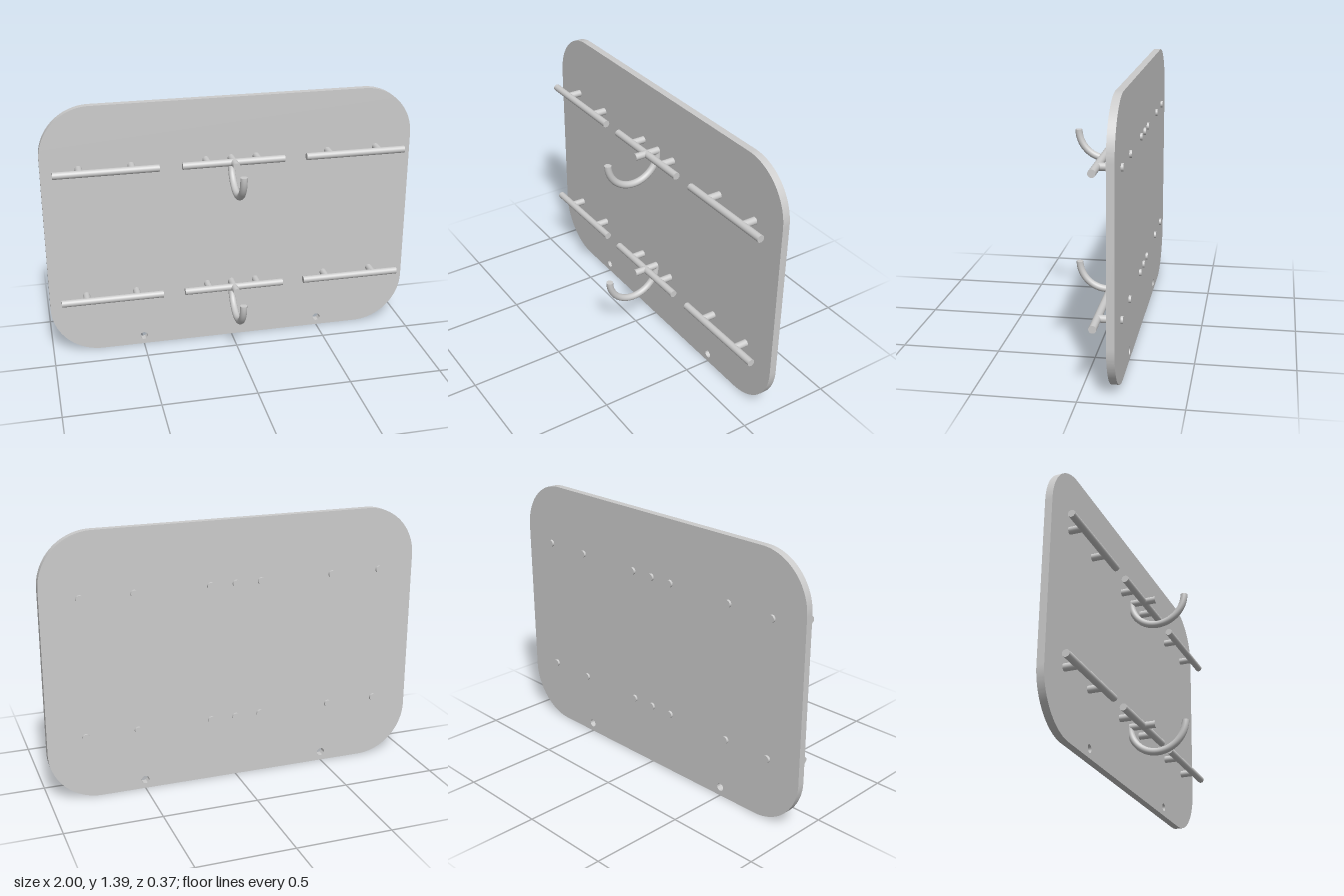
import * as THREE from 'three';
import { toCreasedNormals } from 'three/addons/utils/BufferGeometryUtils.js';

const W = 2, H = 1.395, CORNER = 0.27;
const BACK = -0.175, THICK = 0.038;
const ROD = 0.019, BAR_Z = -0.064, PEG_BACK = -0.187;

export function createModel() {
  const model = new THREE.Group();
  const material = new THREE.MeshStandardMaterial({ color: 0xcccccc });

  const add = (parent, name, geometry, x = 0, y = 0, z = 0) => {
    const mesh = new THREE.Mesh(geometry, material);
    mesh.name = name;
    mesh.position.set(x, y, z);
    parent.add(mesh);
    return mesh;
  };

  // Rounded back panel with two mounting holes
  const r = CORNER, w = W / 2;
  const outline = new THREE.Shape();
  outline.absarc(w - r, r, r, -Math.PI / 2, 0);
  outline.absarc(w - r, H - r, r, 0, Math.PI / 2);
  outline.absarc(-w + r, H - r, r, Math.PI / 2, Math.PI);
  outline.absarc(-w + r, r, r, Math.PI, Math.PI * 1.5);
  outline.closePath();
  for (const x of [-0.5, 0.5]) {
    const hole = new THREE.Path();
    hole.absarc(x, 0.048, 0.021, 0, Math.PI * 2, true);
    outline.holes.push(hole);
  }
  const panel = new THREE.ExtrudeGeometry(outline, { depth: THICK, bevelEnabled: false, curveSegments: 24 });
  add(model, 'backPanel', toCreasedNormals(panel, 0.6), 0, 0, BACK);

  // Peg running forward through the panel to the given depth
  const addPeg = (parent, name, x, front) => {
    const length = front - PEG_BACK;
    const geometry = new THREE.CylinderGeometry(ROD, ROD, length, 24).rotateX(Math.PI / 2);
    add(parent, name, geometry, x, 0, PEG_BACK + length / 2);
  };

  // Upper and lower rows of rails and hooks
  for (const [rowName, y] of [['lowerRow', 0.335], ['upperRow', 1.063]]) {
    const row = new THREE.Group();
    row.name = rowName;
    row.position.y = y;
    model.add(row);

    // Three horizontal bars, each on two pegs
    for (const x of [-0.667, 0, 0.667]) {
      const bar = new THREE.CylinderGeometry(ROD, ROD, 0.547, 24).rotateZ(Math.PI / 2);
      add(row, 'railBar', bar, x, 0, BAR_Z);
      for (const dx of [-0.136, 0.136]) addPeg(row, 'railPeg', x + dx, BAR_Z);
    }

    // Longer centre peg with a half-round hook below it
    addPeg(row, 'hookPeg', 0, 0.006);
    const hook = new THREE.TorusGeometry(0.152, ROD, 20, 40, Math.PI).rotateX(Math.PI).rotateY(Math.PI / 2);
    add(row, 'hook', hook, 0, 0, 0.016);
    // Flat ends closing the hook
    for (const dz of [-0.152, 0.152]) {
      add(row, 'hookEnd', new THREE.CircleGeometry(ROD, 20).rotateX(-Math.PI / 2), 0, 0, 0.016 + dz);
    }
  }

  return model;
}
